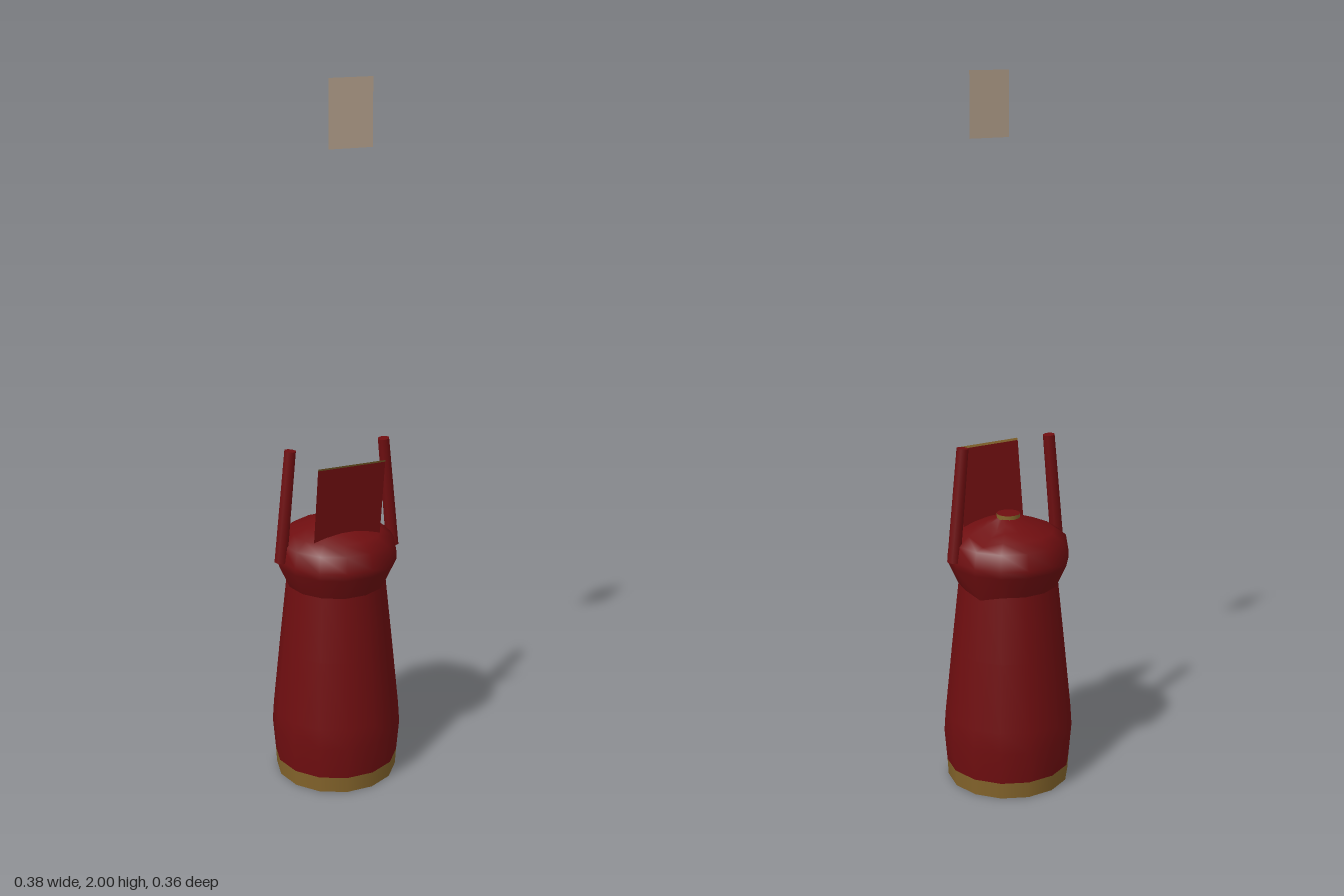
import * as THREE from 'three';
import { mergeVertices } from 'three/addons/utils/BufferGeometryUtils.js';

const SIDES = 14;
const mat = (name, color, side = THREE.FrontSide) => {
  const m = new THREE.MeshStandardMaterial({ color, side });
  m.name = name;
  return m;
};

export function createModel() {
  const group = new THREE.Group();
  const red = mat('dark red', 0x6f0e10);
  const redSheet = mat('dark red sheet', 0x6f0e10, THREE.DoubleSide);
  const gold = mat('old gold', 0x84642b);
  const goldSheet = mat('old gold sheet', 0x84642b, THREE.DoubleSide);
  const tan = mat('pale tan', 0xb5a18d, THREE.DoubleSide);

  const add = (name, geometry, material) => {
    const mesh = new THREE.Mesh(geometry, material);
    mesh.name = name;
    group.add(mesh);
    return mesh;
  };
  // faceted turning with a corner on the x axis
  const turn = (profile) =>
    new THREE.LatheGeometry(profile.map(([r, y]) => new THREE.Vector2(r, y)), SIDES, Math.PI / 2);

  // base band and underside
  add('baseBand', turn([[0.175, 0], [0.178, 0.047]]), gold);
  const underside = new THREE.CircleGeometry(0.175, SIDES);
  underside.rotateX(Math.PI / 2);
  add('underside', underside, red);

  // tapering body
  add('body', turn([[0.178, 0.047], [0.186, 0.14], [0.182, 0.2], [0.162, 0.4], [0.142, 0.59]]), red);

  // flared head with a domed top and a small fold beside the centre
  let head = turn([[0.142, 0.59], [0.172, 0.655], [0.172, 0.675], [0.164, 0.722],
    [0.13, 0.745], [0.09, 0.76], [0.06, 0.772], [0.03, 0.782]]);
  head.deleteAttribute('uv');
  head.deleteAttribute('normal');
  head = mergeVertices(head);
  const p = head.attributes.position;
  const foldAngle = (2 * Math.PI) / SIDES;
  for (let i = 0; i < p.count; i++) {
    const r = Math.hypot(p.getX(i), p.getZ(i));
    const angle = Math.atan2(-p.getZ(i), p.getX(i));
    if (Math.abs(angle - foldAngle) < 0.05 && r > 0.05 && r < 0.15) p.setY(i, p.getY(i) - 0.018);
  }
  head.computeVertexNormals();
  add('head', head, red);

  // centre knob with a gold rim
  const knob = add('knob', new THREE.CylinderGeometry(0.033, 0.033, 0.02, SIDES), [gold, red, red]);
  knob.position.y = 0.782;

  // pair of leaning rods
  for (const s of [-1, 1]) {
    const low = new THREE.Vector3(s * 0.172, 0.675, 0.01);
    const high = new THREE.Vector3(s * 0.141, 0.998, 0.01);
    const dir = high.clone().sub(low);
    const rod = add(s > 0 ? 'leftRod' : 'rightRod',
      new THREE.CylinderGeometry(0.017, 0.019, dir.length(), 8), red);
    rod.position.copy(low).add(high).multiplyScalar(0.5);
    rod.quaternion.setFromUnitVectors(new THREE.Vector3(0, 1, 0), dir.normalize());
  }

  // forward-leaning front panel with a gold top edge
  const sheet = (name, width, y0, z0, y1, z1, material) => {
    const mesh = add(name, new THREE.PlaneGeometry(width, Math.hypot(y1 - y0, z1 - z0)), material);
    mesh.position.set(0, (y0 + y1) / 2, (z0 + z1) / 2);
    mesh.rotation.x = Math.atan2(z1 - z0, y1 - y0);
  };
  sheet('frontPanel', 0.2, 0.74, 0.078, 0.965, 0.109, redSheet);
  sheet('panelEdge', 0.2, 0.965, 0.109, 0.971, 0.112, goldSheet);

  // floating plate
  sheet('floatingPlate', 0.124, 1.822, 0.095, 2, 0.095, tan);

  return group;
}
